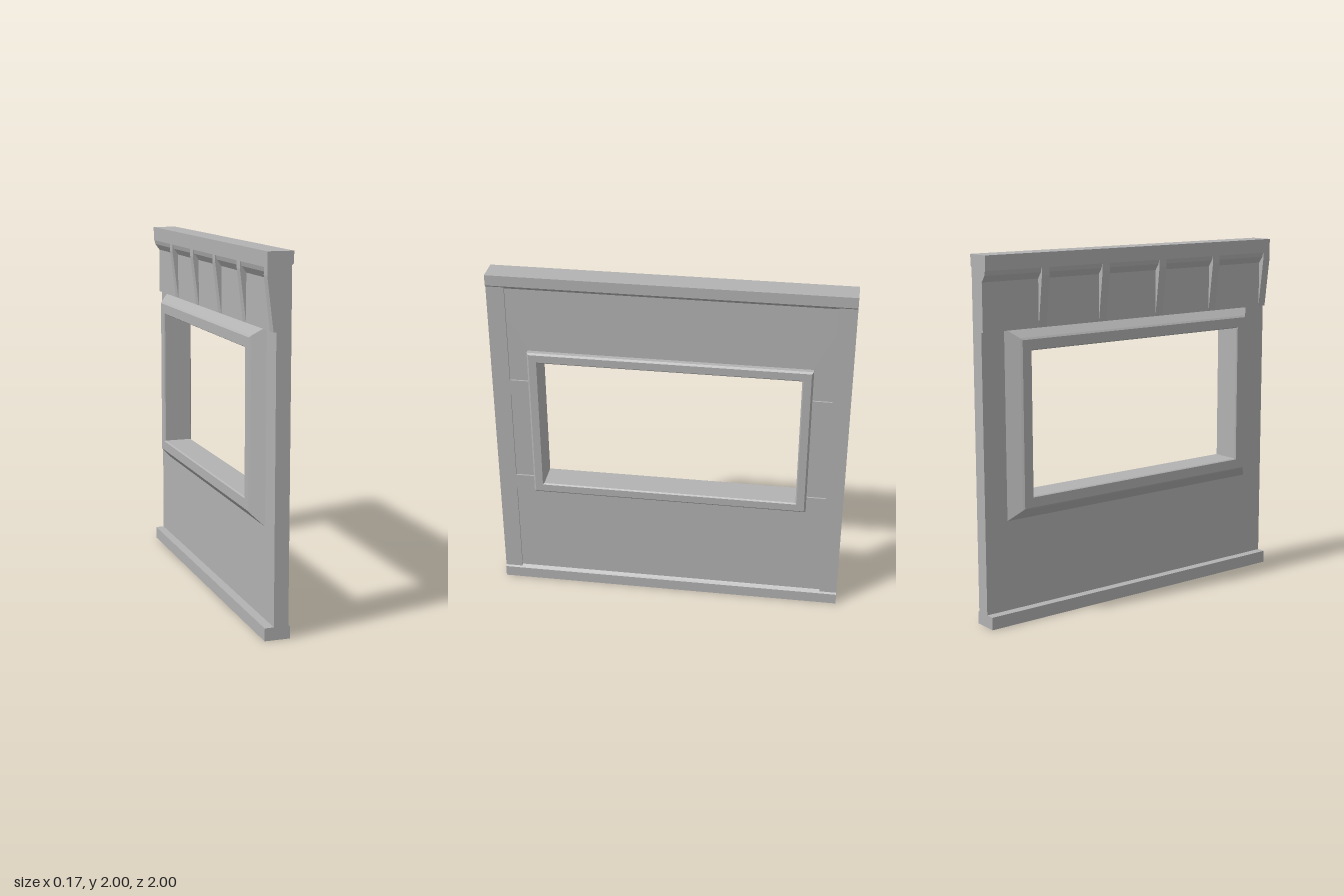
import * as THREE from 'three';

const grey = new THREE.MeshStandardMaterial({ color: 0xb2b2b2 });
grey.name = 'panel grey';

// Outline in (x, y), extruded along z from z0 to z1
function prism(points, z0, z1) {
  const shape = new THREE.Shape(points.map(([x, y]) => new THREE.Vector2(x, y)));
  return new THREE.ExtrudeGeometry(shape, { depth: z1 - z0, bevelEnabled: false }).translate(0, 0, z0);
}

function box(x0, x1, y0, y1, z0, z1) {
  return new THREE.BoxGeometry(x1 - x0, y1 - y0, z1 - z0)
    .translate((x0 + x1) / 2, (y0 + y1) / 2, (z0 + z1) / 2);
}

// Skin between successive rectangles [x, halfWidth, bottom, top], with flat faces
function rectLoft(sections) {
  const rings = sections.map(([x, h, b, t]) => [[x, b, -h], [x, b, h], [x, t, h], [x, t, -h]]);
  const pos = [];
  for (let i = 0; i + 1 < rings.length; i++) {
    for (let k = 0; k < 4; k++) {
      const n = (k + 1) % 4;
      const a = rings[i][k], b = rings[i][n], c = rings[i + 1][n], d = rings[i + 1][k];
      pos.push(...a, ...b, ...c, ...a, ...c, ...d);
    }
  }
  const g = new THREE.BufferGeometry();
  g.setAttribute('position', new THREE.Float32BufferAttribute(pos, 3));
  g.computeVertexNormals();
  return g;
}

export function createModel() {
  const group = new THREE.Group();
  group.name = 'windowWallPanel';
  const add = (name, geometry) => {
    const mesh = new THREE.Mesh(geometry, grey);
    mesh.name = name;
    group.add(mesh);
  };

  // Main slab with the window hole
  const wall = new THREE.Shape();
  wall.moveTo(-1, 0.07).lineTo(1, 0.07).lineTo(1, 1.93).lineTo(-1, 1.93).closePath();
  const hole = new THREE.Path();
  hole.moveTo(-0.76, 0.67).lineTo(-0.76, 1.52).lineTo(0.76, 1.52).lineTo(0.76, 0.67).closePath();
  wall.holes.push(hole);
  add('wall', new THREE.ExtrudeGeometry(wall, { depth: 0.07, bevelEnabled: false })
    .rotateY(-Math.PI / 2).translate(0.05, 0, 0));

  // Base and top rails
  add('baseRail', prism([[-0.07, 0], [0.07, 0], [0.07, 0.065], [0.05, 0.08], [-0.02, 0.08], [-0.02, 0.07], [-0.07, 0.07]], -1, 1));
  add('topRail', prism([[-0.07, 1.92], [0.05, 1.92], [0.07, 1.94], [0.07, 2], [-0.07, 2]], -1, 1));

  // Thicker upper band with a cove under the top rail
  add('upperBand', prism([[-0.035, 1.6], [-0.02, 1.6], [-0.02, 1.93], [-0.07, 1.93], [-0.06, 1.895], [-0.035, 1.86]], -1, 1));

  // Tapered ribs, evenly spaced with the last one flush with the end
  for (let i = 0; i < 5; i++) {
    const z = 0.975 - i * 0.4;
    add('rib', prism([[-0.035, 1.6], [-0.03, 1.6], [-0.03, 1.93], [-0.07, 1.93], [-0.07, 1.88]], z - 0.025, z + 0.025));
  }

  // Raised end pilasters and the tabs that join them to the window frame
  for (const s of [-1, 1]) {
    const span = (a, b) => (s > 0 ? [a, b] : [-b, -a]);
    add('pilaster', box(0.05, 0.06, 0.07, 1.93, ...span(0.9, 1)));
    for (const y of [0.64, 1.27]) add('tab', box(0.05, 0.06, y, y + 0.09, ...span(0.78, 0.9)));
  }

  // Window surround: bevelled outer frame, reveal and thin inner frame
  add('windowSurround', rectLoft([
    [-0.02, 0.86, 0.57, 1.61],
    [-0.08, 0.80, 0.63, 1.56],
    [-0.088, 0.79, 0.64, 1.55],
    [-0.088, 0.735, 0.695, 1.495],
    [-0.08, 0.73, 0.70, 1.49],
    [0.078, 0.73, 0.70, 1.49],
    [0.085, 0.737, 0.693, 1.497],
    [0.085, 0.78, 0.65, 1.54],
    [0.076, 0.79, 0.64, 1.55],
    [0.05, 0.79, 0.64, 1.55],
  ]));

  return group;
}
